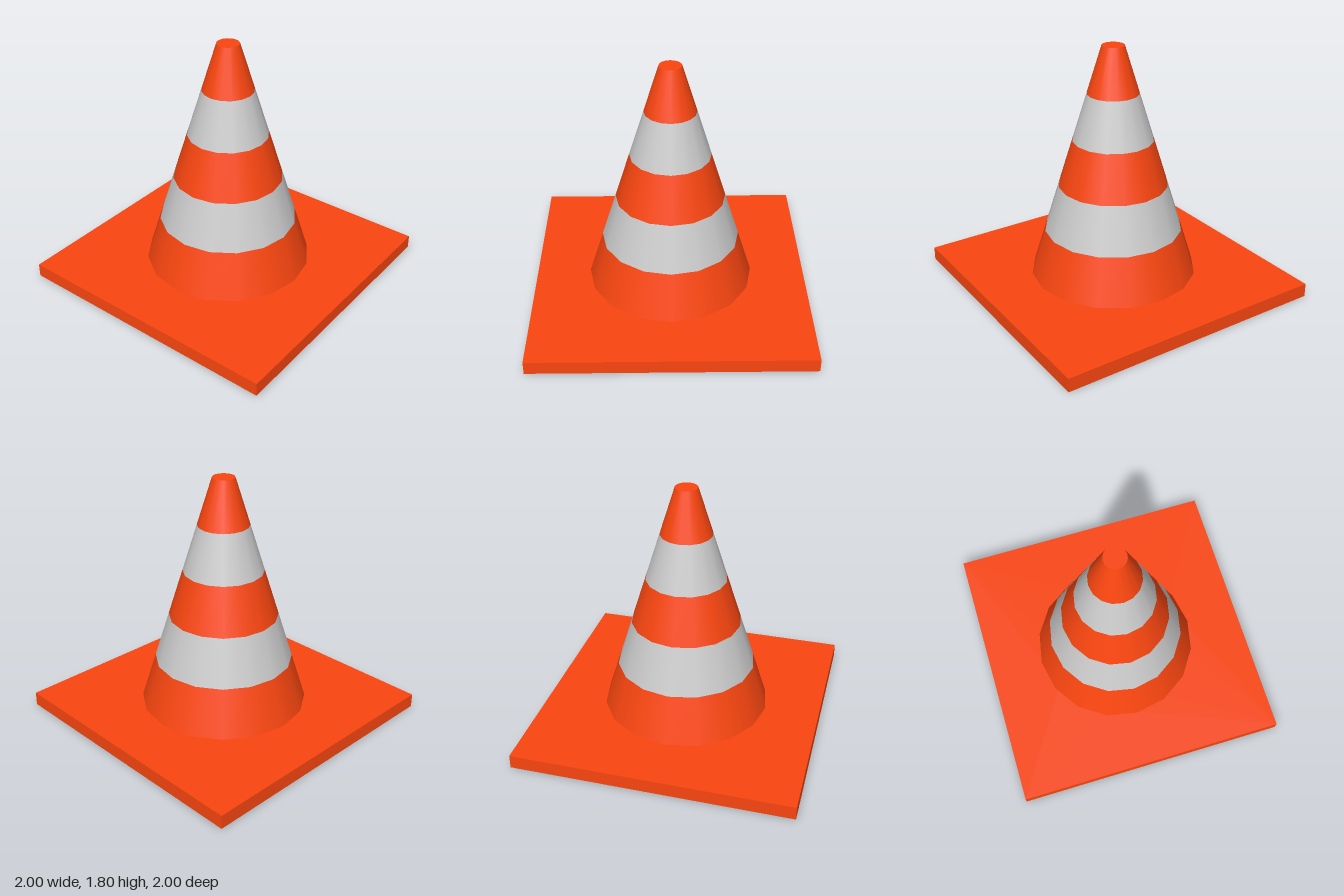
import * as THREE from 'three';

const SIDES = 16;
const BASE_TOP = 0.1, TOP = 1.8, R_BOTTOM = 0.605, R_TOP = 0.08;
const HOLE_R = 0.555, INNER_TOP = 1.65, INNER_R = 0.05;

const orange = new THREE.MeshStandardMaterial({ color: 0xfa4610 });
const grey = new THREE.MeshStandardMaterial({ color: 0xcccccc });

function addPart(group, name, geometry, material) {
  const mesh = new THREE.Mesh(geometry, material);
  mesh.name = name;
  group.add(mesh);
  return mesh;
}

// Flat end disc; rotation -PI/2 faces up, +PI/2 faces down
function disc(radius, y, rotation) {
  return new THREE.CircleGeometry(radius, SIDES).rotateX(rotation).translate(0, y, 0);
}

export function createModel() {
  const model = new THREE.Group();
  model.name = 'trafficCone';

  // Square base plate with a 16-sided opening
  const square = new THREE.Shape([[-1, -1], [1, -1], [1, 1], [-1, 1]].map(([x, y]) => new THREE.Vector2(x, y)));
  const rim = [];
  for (let i = 0; i < SIDES; i++) {
    const a = -i / SIDES * Math.PI * 2;
    rim.push(new THREE.Vector2(Math.cos(a) * HOLE_R, Math.sin(a) * HOLE_R));
  }
  square.holes.push(new THREE.Path(rim));
  const plate = new THREE.ExtrudeGeometry(square, { depth: BASE_TOP, bevelEnabled: false });
  addPart(model, 'basePlate', plate.rotateX(-Math.PI / 2), orange);

  // Five equal bands of alternating colour
  const bands = 5, h = (TOP - BASE_TOP) / bands;
  const radiusAt = (i) => THREE.MathUtils.lerp(R_BOTTOM, R_TOP, i / bands);
  for (let i = 0; i < bands; i++) {
    const band = new THREE.CylinderGeometry(radiusAt(i + 1), radiusAt(i), h, SIDES, 1, true);
    band.translate(0, BASE_TOP + (i + 0.5) * h, 0);
    addPart(model, i % 2 ? 'reflectiveBand' : 'coneBand', band, i % 2 ? grey : orange);
  }
  addPart(model, 'coneTip', disc(R_TOP, TOP, -Math.PI / 2), orange);

  // Hollow interior; the profile runs downward so its faces point inward
  const inner = new THREE.LatheGeometry([
    new THREE.Vector2(INNER_R, INNER_TOP),
    new THREE.Vector2(HOLE_R, 0),
  ], SIDES);
  addPart(model, 'innerWall', inner, orange);
  addPart(model, 'innerCeiling', disc(INNER_R, INNER_TOP, Math.PI / 2), orange);

  return model;
}
